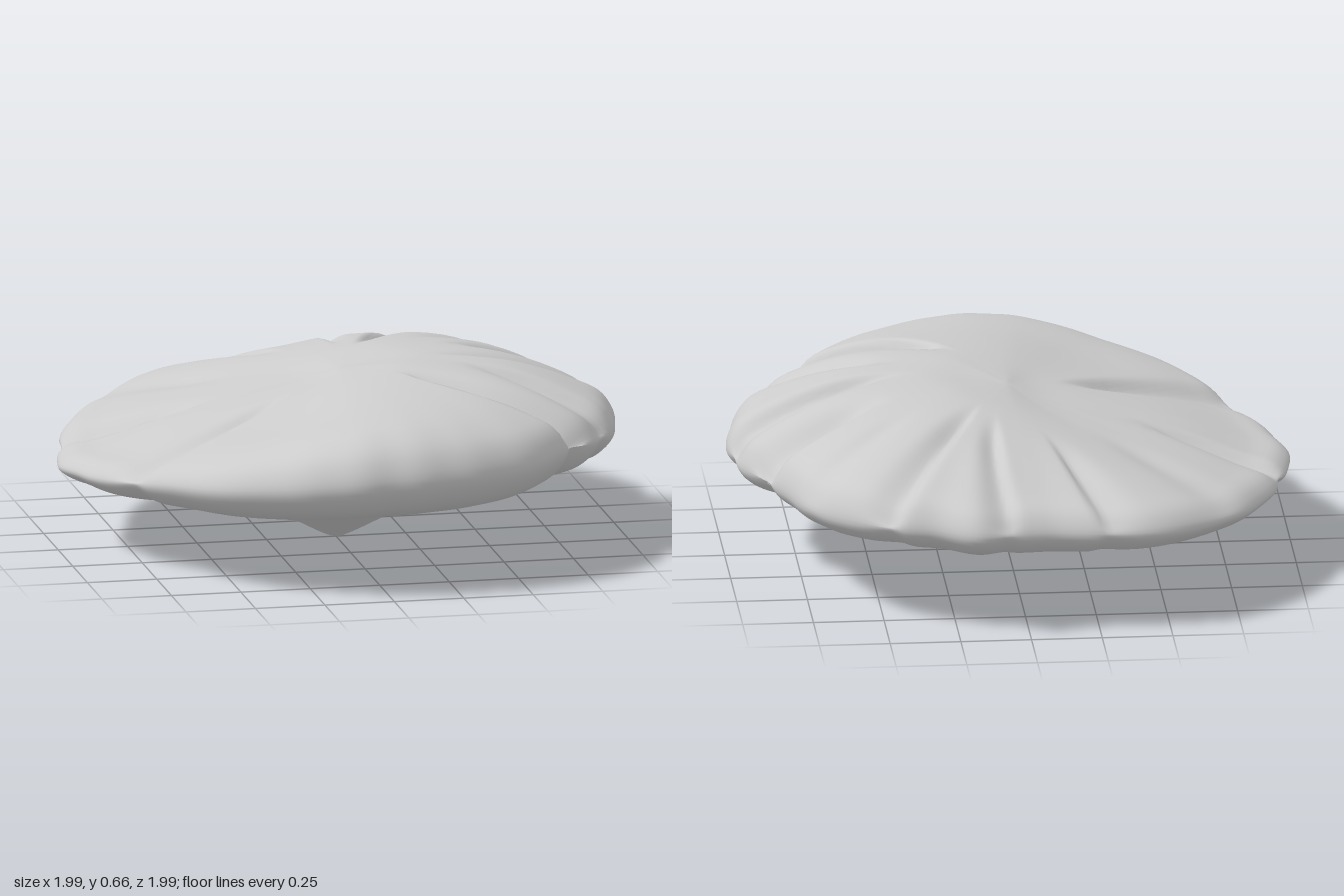
import * as THREE from 'three';
import { mergeVertices } from 'three/addons/utils/BufferGeometryUtils.js';

// Rim radius every 10 degrees, from +x (left) round through +z (front)
const RIM = [0.99, 0.985, 0.975, 0.96, 0.945, 0.96, 0.985, 0.985, 0.99, 0.99, 1.0, 0.99,
  0.985, 0.98, 0.965, 0.95, 0.96, 0.98, 1.0, 0.98, 0.985, 1.0, 1.015, 1.03,
  1.035, 1.015, 0.97, 0.96, 1.015, 0.99, 1.02, 1.015, 0.995, 0.955, 0.955, 0.975];

// Heights every 45 degrees
const UNDER = [0.29, 0.285, 0.268, 0.255, 0.24, 0.252, 0.27, 0.287];  // underside near the rim
const EDGE = [0.38, 0.415, 0.41, 0.36, 0.30, 0.33, 0.37, 0.38];       // outermost edge
const OUTER = [0.54, 0.56, 0.58, 0.46, 0.37, 0.43, 0.49, 0.54];       // top at 0.85 of the radius
const MIDDLE = [0.625, 0.63, 0.605, 0.505, 0.455, 0.485, 0.57, 0.61];
const INNER = [0.65, 0.655, 0.625, 0.56, 0.53, 0.54, 0.60, 0.64];

// Radial furrows: angle, bend with radius, start radius, depth, width before, width after
const FURROWS = [
  [47, -28, 0.34, 0.07, 7, 2],
  [21, 5, 0.45, 0.04, 2, 6],
  [0, -12, 0.36, 0.045, 5, 2.5],
  [148, 10, 0.25, 0.04, 3, 6],
  [191, 8, 0.45, 0.04, 2, 5],
  [255, -5, 0.45, 0.025, 5, 1.5],
  [278, -12, 0.35, 0.03, 2, 4],
  [297, 6, 0.30, 0.04, 2, 5],
  [337, 6, 0.50, 0.065, 3, 6],
  [318, 3, 0.45, 0.015, 4, 4],
  [225, 0, 0.4, 0.015, 6, 6],
];

// Smooth periodic interpolation of a table spread evenly round the circle
function around(table, deg) {
  const n = table.length, f = ((deg / 360) * n + n) % n, i = Math.floor(f), t = f - i;
  const [a, b, c, d] = [-1, 0, 1, 2].map((k) => table[(i + k + n) % n]);
  return b + 0.5 * t * (c - a + t * (2 * a - 5 * b + 4 * c - d + t * (3 * (b - c) + d - a)));
}

function furrowDepth(deg, r) {
  let sum = 0;
  for (const [angle, bend, start, depth, before, after] of FURROWS) {
    const diff = ((deg - angle - bend * (r - 0.7) + 540) % 360) - 180;
    const width = diff < 0 ? before : after;
    sum += depth * Math.exp(-((diff / width) ** 2)) * THREE.MathUtils.smoothstep(r, start, start + 0.25);
  }
  return sum;
}

// Half cross-section at one angle: bottom tip, rounded rim, top centre
function section(deg, steps) {
  const [under, edge, outer, middle, inner] = [UNDER, EDGE, OUTER, MIDDLE, INNER].map((t) => around(t, deg));
  const tilt = under - 0.265;
  const points = [
    [0, 0], [0.04, 0.012], [0.2, 0.093], [0.4, 0.183 + tilt * 0.6], [0.6, 0.238 + tilt * 0.85], [0.85, under],
    [0.95, under * 0.65 + edge * 0.35], [1, edge], [0.96, edge * 0.4 + outer * 0.6],
    [0.85, outer], [0.6, middle], [0.3, inner], [0.12, 0.61 + (inner - 0.61) * 0.5], [0, 0.61],
  ];
  const curve = new THREE.CatmullRomCurve3(points.map(([r, y]) => new THREE.Vector3(r, y, 0)), false, 'centripetal');
  return Array.from({ length: steps + 1 }, (_, i) => curve.getPoint(i / steps));
}

function capGeometry(sides = 288, steps = 65) {
  const positions = [], index = [];
  for (let j = 0; j < sides; j++) {
    const deg = (j / sides) * 360, a = THREE.MathUtils.degToRad(deg);
    const edge = around(EDGE, deg);
    // Fine scallops along the rim
    const rim = around(RIM, deg) + 0.003 * Math.sin(a * 23 + 2 * Math.sin(a * 4));
    const wave = Math.sin(a * 9 + 1.5 * Math.sin(a * 2));
    section(deg, steps).forEach((p, i) => {
      const furrow = furrowDepth(deg, p.x);
      const top = i > steps / 2 ? THREE.MathUtils.smoothstep(p.y, edge - 0.02, edge + 0.07) : 0;
      // Soft swells on both faces, and furrows that notch the outer underside
      const swell = 0.003 * wave * THREE.MathUtils.smoothstep(p.x, 0.2, 0.9);
      const notch = 0.25 * furrow * (1 - top) * THREE.MathUtils.smoothstep(p.x, 0.6, 0.95);
      const r = i === 0 || i === steps ? 0 : p.x * (rim - furrow * 0.25 * p.x ** 4);
      const y = p.y - furrow * top + swell + notch;
      positions.push(r * Math.cos(a), y, r * Math.sin(a));
    });
  }
  const row = steps + 1;
  for (let j = 0; j < sides; j++) {
    for (let i = 0; i < steps; i++) {
      const a = j * row + i, b = ((j + 1) % sides) * row + i;
      if (i < steps - 1) index.push(a, a + 1, b + 1);
      if (i > 0) index.push(a, b + 1, b);
    }
  }
  const geometry = new THREE.BufferGeometry();
  geometry.setAttribute('position', new THREE.Float32BufferAttribute(positions, 3));
  geometry.setIndex(index);
  const merged = mergeVertices(geometry, 1e-5);
  merged.computeVertexNormals();
  return merged;
}

export function createModel() {
  const group = new THREE.Group();
  group.name = 'lobedCap';
  const cap = new THREE.Mesh(capGeometry(), new THREE.MeshStandardMaterial({ color: 0xcccccc }));
  cap.name = 'cap';
  group.add(cap);
  return group;
}
